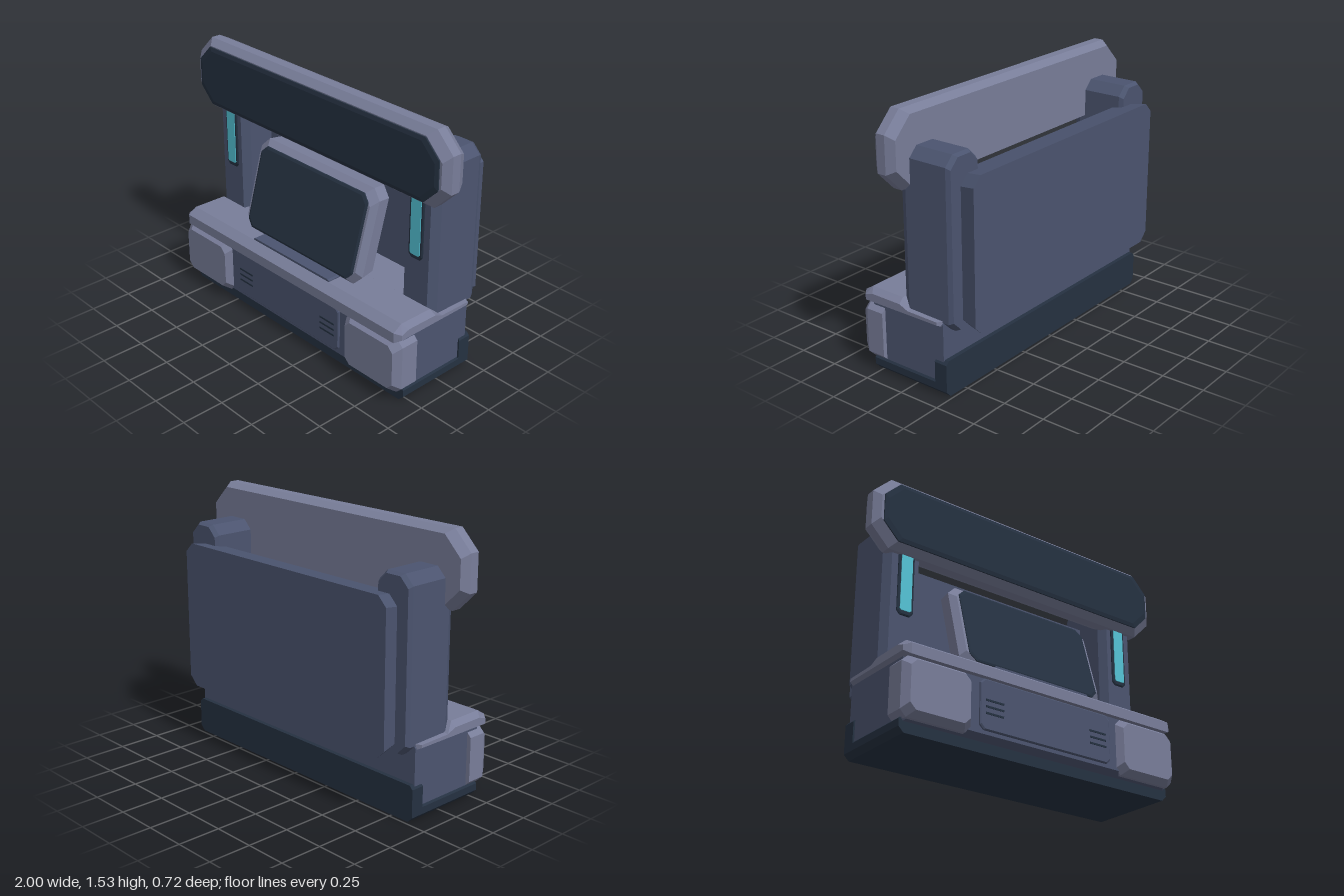
import * as THREE from 'three';

const material = (name, color) => Object.assign(new THREE.MeshStandardMaterial({ color, flatShading: true }), { name });

// Joins matching cross-sections into a closed flat-sided solid with capped ends
function loft(rings) {
  const pos = [];
  const tri = (a, b, c) => pos.push(...a, ...b, ...c);
  const n = rings[0].length;
  for (let k = 0; k < rings.length - 1; k++) {
    const r = rings[k], s = rings[k + 1];
    for (let i = 0; i < n; i++) {
      const j = (i + 1) % n;
      tri(r[i], r[j], s[j]);
      tri(r[i], s[j], s[i]);
    }
  }
  const first = rings[0], last = rings[rings.length - 1];
  for (let i = 1; i < n - 1; i++) {
    tri(first[0], first[i + 1], first[i]);
    tri(last[0], last[i], last[i + 1]);
  }
  const geo = new THREE.BufferGeometry();
  geo.setAttribute('position', new THREE.Float32BufferAttribute(pos, 3));
  geo.computeVertexNormals();
  return geo;
}

// Rectangle with cut corners; lean shifts z according to height
function octagon(x0, x1, y0, y1, cut, z, lean = () => 0) {
  const c = cut;
  return [
    [x0 + c, y0], [x1 - c, y0], [x1, y0 + c], [x1, y1 - c],
    [x1 - c, y1], [x0 + c, y1], [x0, y1 - c], [x0, y0 + c],
  ].map(([x, y]) => [x, y, z + lean(y)]);
}

// Cut-corner block made of [z, inset] steps, listed from back to front
function block([x0, x1, y0, y1], cut, steps, lean) {
  return loft(steps.map(([z, d]) => octagon(x0 + d, x1 - d, y0 + d, y1 - d, cut, z, lean)));
}

export function createModel() {
  const shell = material('light grey shell', 0x787d99);
  const slate = material('slate body', 0x4b546f);
  const dark = material('dark navy', 0x253141);
  const cyan = material('cyan light', 0x55c3d6);

  const model = new THREE.Group();
  model.name = 'consoleStation';
  const add = (name, geo, mat, parent = model) => {
    const mesh = new THREE.Mesh(geo, mat);
    mesh.name = name;
    parent.add(mesh);
    return mesh;
  };

  // Plinth with a taller kickboard at the back
  add('plinth', block([-0.895, 0.895, 0, 0.1], 0.03, [[-0.23, 0], [0.285, 0]]), dark);
  add('rearKickboard', block([-0.895, 0.895, 0.03, 0.21], 0.02, [[-0.23, 0], [-0.15, 0]]), dark);

  // Lower cabinet with its front panel
  add('cabinet', block([-0.885, 0.885, 0.06, 0.43], 0.015, [[-0.205, 0], [0.285, 0], [0.32, 0.03]]), slate);
  add('frontPanel', block([-0.44, 0.44, 0.11, 0.392], 0.025, [[0.31, 0], [0.328, 0], [0.333, 0.006]]), slate);

  // Counter: side profile (z, y) carried across x, with chamfered ends
  const profile = [
    [0.35, 0.395], [-0.2, 0.4], [-0.2, 0.435], [0.02, 0.44],
    [0.08, 0.487], [0.295, 0.49], [0.35, 0.455],
  ];
  const full = (x) => profile.map(([z, y]) => [x, y, z]);
  const end = (x) => profile.map(([z, y]) => [x, 0.435 + (y - 0.435) * 0.5, z * 0.92]);
  add('counter', loft([end(-0.91), full(-0.875), full(0.875), end(0.91)]), shell);
  const inner = add('counterRear', new THREE.BoxGeometry(1.34, 0.08, 0.3), shell);
  inner.position.set(0, 0.446, -0.03);

  // Rear wall
  add('rearWall', block([-0.81, 0.81, 0.36, 1.235], 0.055,
    [[-0.36, 0], [-0.2, 0.025], [-0.13, 0.07]]), slate);

  // Paired parts: pillars, lamps, corner blocks and vents
  for (const [side, s] of [['left', 1], ['right', -1]]) {
    const group = new THREE.Group();
    group.name = side + 'Side';
    model.add(group);
    const span = (a, b) => (s > 0 ? [a, b] : [-b, -a]);

    add('pillar', block([...span(0.65, 0.88), 0.37, 1.335], 0.055,
      [[-0.265, 0.012], [-0.24, 0], [0.03, 0], [0.078, 0.03]]), slate, group);
    add('lampFrame', block([...span(0.71, 0.81), 0.745, 1.3], 0.02,
      [[0.07, 0], [0.084, 0], [0.088, 0.006]]), dark, group);
    add('lamp', block([...span(0.725, 0.795), 0.77, 1.28], 0.008,
      [[0.084, 0], [0.092, 0]]), cyan, group);
    add('cornerBlock', block([...span(0.49, 0.91), 0.07, 0.398], 0.035,
      [[0.205, 0], [0.315, 0], [0.36, 0.03]]), shell, group);

    for (let i = 0; i < 3; i++) {
      const vent = add('vent' + (i + 1), new THREE.BoxGeometry(0.115, 0.011, 0.006), dark, group);
      vent.position.set(s * 0.35, 0.202 + i * 0.036, 0.333);
    }
  }

  // Leaning monitor on a flat foot
  const lean = (y) => -(y - 0.5) * 0.28;
  add('monitorFoot', block([-0.32, 0.32, 0.47, 0.503], 0.008, [[-0.055, 0], [0.293, 0]]), slate);
  add('monitorCase', block([-0.485, 0.485, 0.495, 1.027], 0.055,
    [[0.095, 0.05], [0.13, 0.008], [0.21, 0], [0.245, 0.03]], lean), shell);
  add('monitorScreen', block([-0.44, 0.44, 0.525, 1.0], 0.04,
    [[0.24, 0], [0.25, 0], [0.255, 0.012]], lean), dark);

  // Overhead sign
  add('signFrame', block([-1, 1, 1.1, 1.53], 0.11,
    [[-0.005, 0.025], [0.045, 0], [0.1, 0], [0.14, 0.035]]), shell);
  add('signScreen', block([-0.95, 0.95, 1.135, 1.49], 0.095,
    [[0.13, 0], [0.147, 0], [0.153, 0.022]]), dark);

  // Centre the depth on z = 0
  const box = new THREE.Box3().setFromObject(model);
  const shift = -(box.min.z + box.max.z) / 2;
  for (const part of model.children) part.position.z += shift;
  return model;
}
